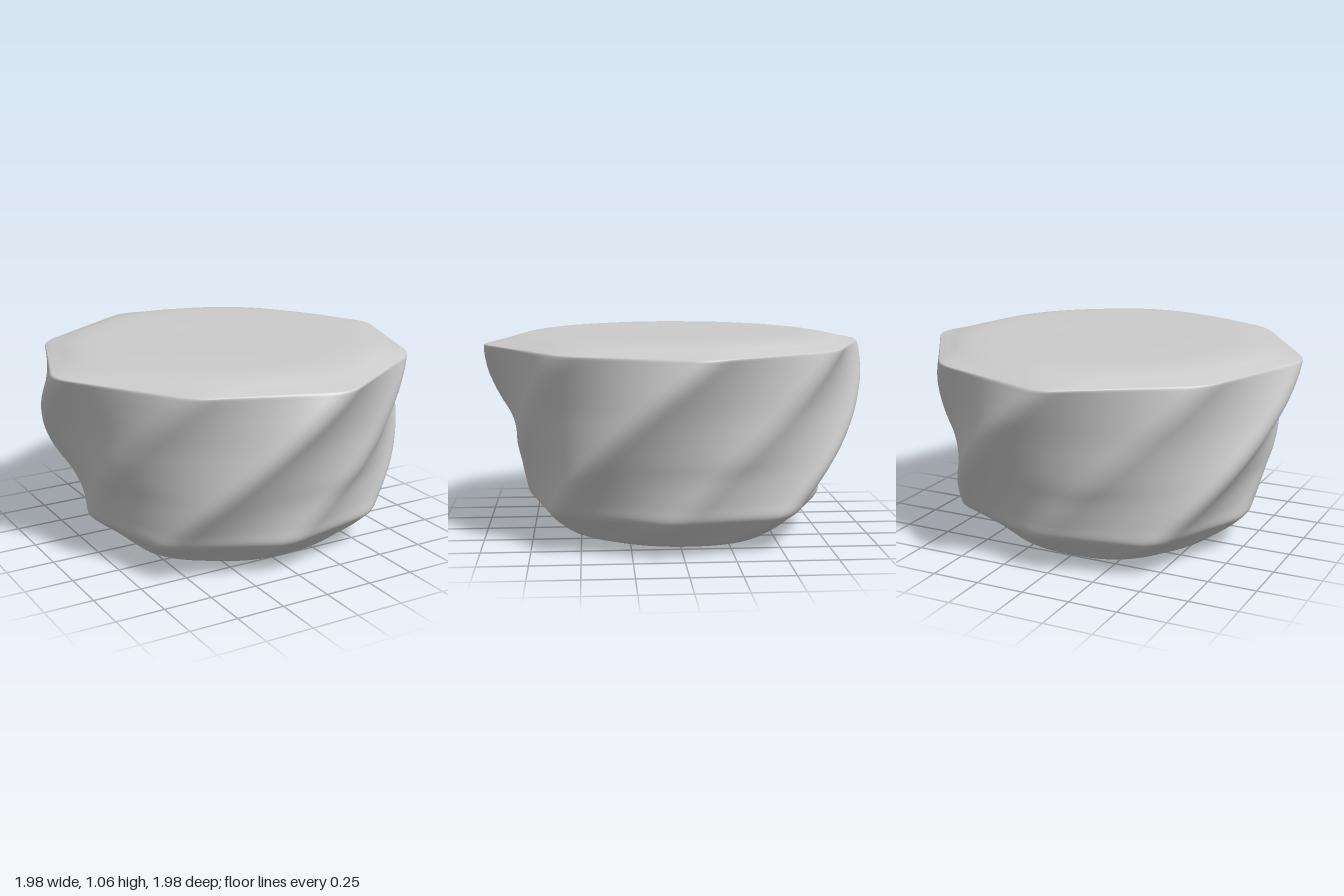
import * as THREE from 'three';

// Height, radius of the major ridges, radius of the minor ridges
const PROFILE = [
  [0, 0.001, 0.001], [0, 0.25, 0.25], [0.003, 0.44, 0.43], [0.014, 0.56, 0.53], [0.04, 0.64, 0.605],
  [0.1, 0.715, 0.68], [0.16, 0.795, 0.75], [0.2, 0.84, 0.785], [0.27, 0.865, 0.8], [0.4, 0.91, 0.83],
  [0.5, 0.938, 0.865], [0.6, 0.962, 0.89], [0.7, 0.982, 0.91], [0.85, 1.007, 0.942],
  [0.97, 1.016, 0.962], [0.998, 1.014, 0.963], [1.006, 0.99, 0.95], [1.02, 0.935, 0.905], [1.036, 0.88, 0.86],
  [1.048, 0.81, 0.8], [1.055, 0.7, 0.7], [1.057, 0.5, 0.5], [1.057, 0.25, 0.25], [1.057, 0.001, 0.001],
];
const CORNERS = 8, SEGMENTS = 192, ROWS = 160;

// Ridge angle from +z towards +x at a given height
const twist = (y) => THREE.MathUtils.degToRad(-63 + 69.5 * y);

// Point on an eight-sided ring whose corners alternate between two radii
function ringPoint(u, major, minor, angle) {
  const k = Math.floor(u);
  const corner = (i) => {
    const odd = Math.abs(i % 2) === 1;
    const a = angle + (i * Math.PI * 2) / CORNERS + (odd ? 0.025 : 0);
    const r = odd ? minor : major;
    return new THREE.Vector2(Math.sin(a) * r, Math.cos(a) * r);
  };
  return corner(k).lerp(corner(k + 1), u - k);
}

// Same ring with softened corners, by averaging neighbouring points
function softPoint(u, major, minor, angle, soft) {
  const sum = new THREE.Vector2();
  const n = 6;
  for (let i = -n; i <= n; i++) sum.add(ringPoint(u + (soft * i) / n, major, minor, angle));
  return sum.divideScalar(2 * n + 1);
}

function twistedBodyGeometry() {
  const curve = new THREE.CatmullRomCurve3(PROFILE.map((p) => new THREE.Vector3(...p)), false, 'centripetal');
  const rows = curve.getPoints(ROWS);
  const positions = [], index = [];
  rows.forEach(({ x: y, y: major, z: minor }) => {
    // Corners fade out towards the middle of the top and the base
    const fade = Math.max(THREE.MathUtils.smoothstep(y, 1.0, 1.05), 1 - THREE.MathUtils.smoothstep(y, 0, 0.15));
    const soft = 0.12 + 0.3 * fade;
    for (let s = 0; s < SEGMENTS; s++) {
      const p = softPoint((s / SEGMENTS) * CORNERS, major, minor, twist(y), soft);
      positions.push(p.x, Math.max(0, y), p.y);
    }
  });
  for (let r = 0; r < rows.length - 1; r++) {
    for (let s = 0; s < SEGMENTS; s++) {
      const n = (s + 1) % SEGMENTS;
      const a = r * SEGMENTS + s, b = r * SEGMENTS + n;
      const c = a + SEGMENTS, d = b + SEGMENTS;
      index.push(a, b, d, a, d, c);
    }
  }
  const geometry = new THREE.BufferGeometry();
  geometry.setAttribute('position', new THREE.Float32BufferAttribute(positions, 3));
  geometry.setIndex(index);
  geometry.computeVertexNormals();
  return geometry;
}

export function createModel() {
  const group = new THREE.Group();
  group.name = 'twistedKnob';
  const body = new THREE.Mesh(twistedBodyGeometry(), new THREE.MeshStandardMaterial({ color: 0xcccccc }));
  body.name = 'twistedBody';
  group.add(body);
  return group;
}
